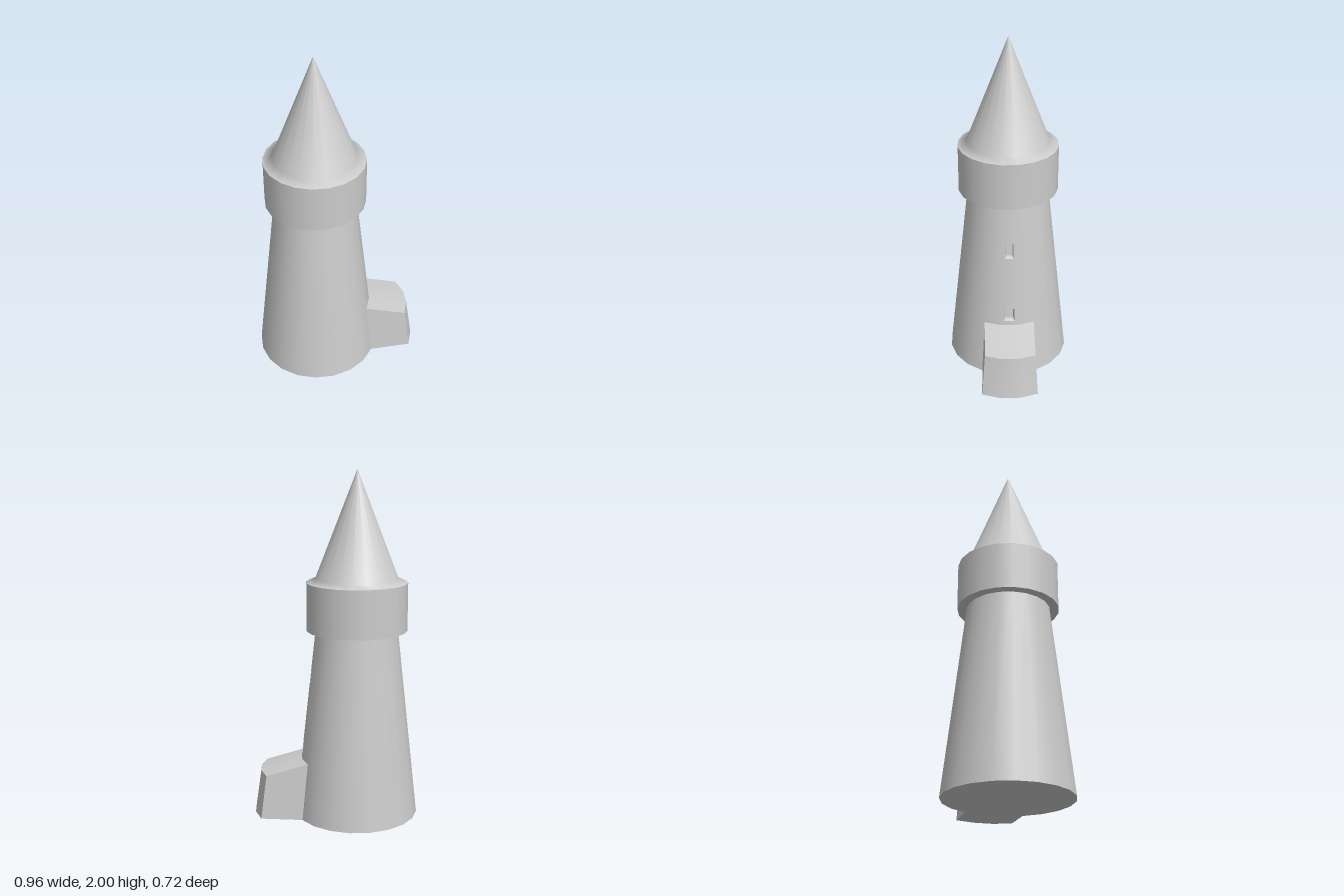
import * as THREE from 'three';
import { toCreasedNormals } from 'three/addons/utils/BufferGeometryUtils.js';

const SIDES = 20, STEP = Math.PI * 2 / SIDES;
const BASE_R = 0.36, TOP_R = 0.237, BODY_H = 1.095;
const SLOPE = (BASE_R - TOP_R) / BODY_H;
const radiusAt = (y) => BASE_R - SLOPE * y;

const material = new THREE.MeshStandardMaterial({ color: 0xcccccc });

function part(name, geometry, parent) {
  const mesh = new THREE.Mesh(geometry, material);
  mesh.name = name;
  parent.add(mesh);
  return mesh;
}

// Flat quads, corners counter-clockwise seen from outside
function quadGeometry(quads) {
  const pts = quads.flatMap(([a, b, c, d]) => [a, b, c, a, c, d]);
  const g = new THREE.BufferGeometry().setFromPoints(pts);
  g.computeVertexNormals();
  return g;
}

// Point on the windowed facet: u across it, y up, depth inwards
const MID = STEP / 2;
function facetPoint(u, y, depth = 0) {
  const r = radiusAt(y) * Math.cos(MID) - depth;
  return new THREE.Vector3(
    r * Math.cos(MID) - u * Math.sin(MID), y,
    -r * Math.sin(MID) - u * Math.cos(MID));
}

const rect = (w, y0, y1) => [[-w, y0], [w, y0], [w, y1], [-w, y1]];

// The one wall facet that is pierced by the windows, shaded like the round wall
function windowFacet(windows) {
  const toV2 = ([x, y]) => new THREE.Vector2(x, y);
  const w0 = BASE_R * Math.sin(MID), w1 = TOP_R * Math.sin(MID);
  const shape = new THREE.Shape([[-w0, 0], [w0, 0], [w1, BODY_H], [-w1, BODY_H]].map(toV2));
  for (const [w, y0, y1] of windows) {
    shape.holes.push(new THREE.Path(rect(w, y0, y1).map(toV2)));
  }
  const g = new THREE.ShapeGeometry(shape);
  const pos = g.attributes.position, normal = g.attributes.normal;
  for (let i = 0; i < pos.count; i++) {
    const u = pos.getX(i), y = pos.getY(i);
    const p = facetPoint(u, y);
    const angle = MID + MID * u / (radiusAt(y) * Math.sin(MID));
    const n = new THREE.Vector3(Math.cos(angle), SLOPE, -Math.sin(angle)).normalize();
    pos.setXYZ(i, p.x, p.y, p.z);
    normal.setXYZ(i, n.x, n.y, n.z);
  }
  return g;
}

// Tapered recess behind a window opening
function windowRecess([w, y0, y1]) {
  const outer = rect(w, y0, y1).map(([u, y]) => facetPoint(u, y));
  const inner = rect(w * 0.75, y0 + 0.01, y1 - 0.01).map(([u, y]) => facetPoint(u, y, 0.022));
  const quads = outer.map((a, i) => {
    const j = (i + 1) % 4;
    return [a, outer[j], inner[j], inner[i]];
  });
  return quadGeometry([...quads, inner]);
}

// Lean-to that grows out of three facets of the wall
function annexGeometry() {
  const ring = (r, y) => [-1, 0, 1, 2].map((k) =>
    new THREE.Vector3(r * Math.cos(k * STEP), y, -r * Math.sin(k * STEP)));
  const shifted = (pts, dx, y, dz) =>
    pts.map((p) => new THREE.Vector3(p.x + dx, y, p.z + dz));
  const inB = ring(BASE_R, 0), inT = ring(radiusAt(0.335), 0.335);
  const outB = shifted(inB, 0.236, 0.013, -0.036);
  const outT = shifted(inT, 0.236, 0.268, -0.038);
  const quads = [
    [inB[0], outB[0], outT[0], inT[0]],
    [outB[3], inB[3], inT[3], outT[3]],
  ];
  for (let i = 0; i < 3; i++) {
    const j = i + 1;
    quads.push([outB[i], outB[j], outT[j], outT[i]]);
    quads.push([inT[i], outT[i], outT[j], inT[j]]);
    quads.push([inB[j], outB[j], outB[i], inB[i]]);
  }
  return toCreasedNormals(quadGeometry(quads), 0.5);
}

function lathe(points) {
  return new THREE.LatheGeometry(points.map(([r, y]) => new THREE.Vector2(r, y)), SIDES);
}

export function createModel() {
  const model = new THREE.Group();
  model.name = 'tower';
  const tower = new THREE.Group();
  tower.name = 'towerParts';
  tower.position.x = -0.12;
  model.add(tower);

  // Tapered wall, leaving out the windowed facet
  const wall = new THREE.CylinderGeometry(TOP_R, BASE_R, BODY_H, SIDES - 1, 1, true,
    Math.PI / 2 + STEP, Math.PI * 2 - STEP);
  part('wall', wall.translate(0, BODY_H / 2, 0), tower);
  part('floor', new THREE.CircleGeometry(BASE_R, SIDES).rotateX(Math.PI / 2), tower);

  // Windows: half width, bottom, top
  const windows = [[0.032, 0.36, 0.44], [0.025, 0.765, 0.855]];
  part('windowWall', windowFacet(windows), tower);
  part('lowerWindow', windowRecess(windows[0]), tower);
  part('upperWindow', windowRecess(windows[1]), tower);

  // Collar and pointed roof
  part('collarUnderside', lathe([[TOP_R - 0.01, BODY_H], [0.29, BODY_H]]), tower);
  part('collar', lathe([[0.29, BODY_H], [0.29, 1.37]]), tower);
  part('roof', lathe([[0.29, 1.37], [0.237, 1.392], [0, 2]]), tower);

  part('annex', annexGeometry(), tower);
  return model;
}
